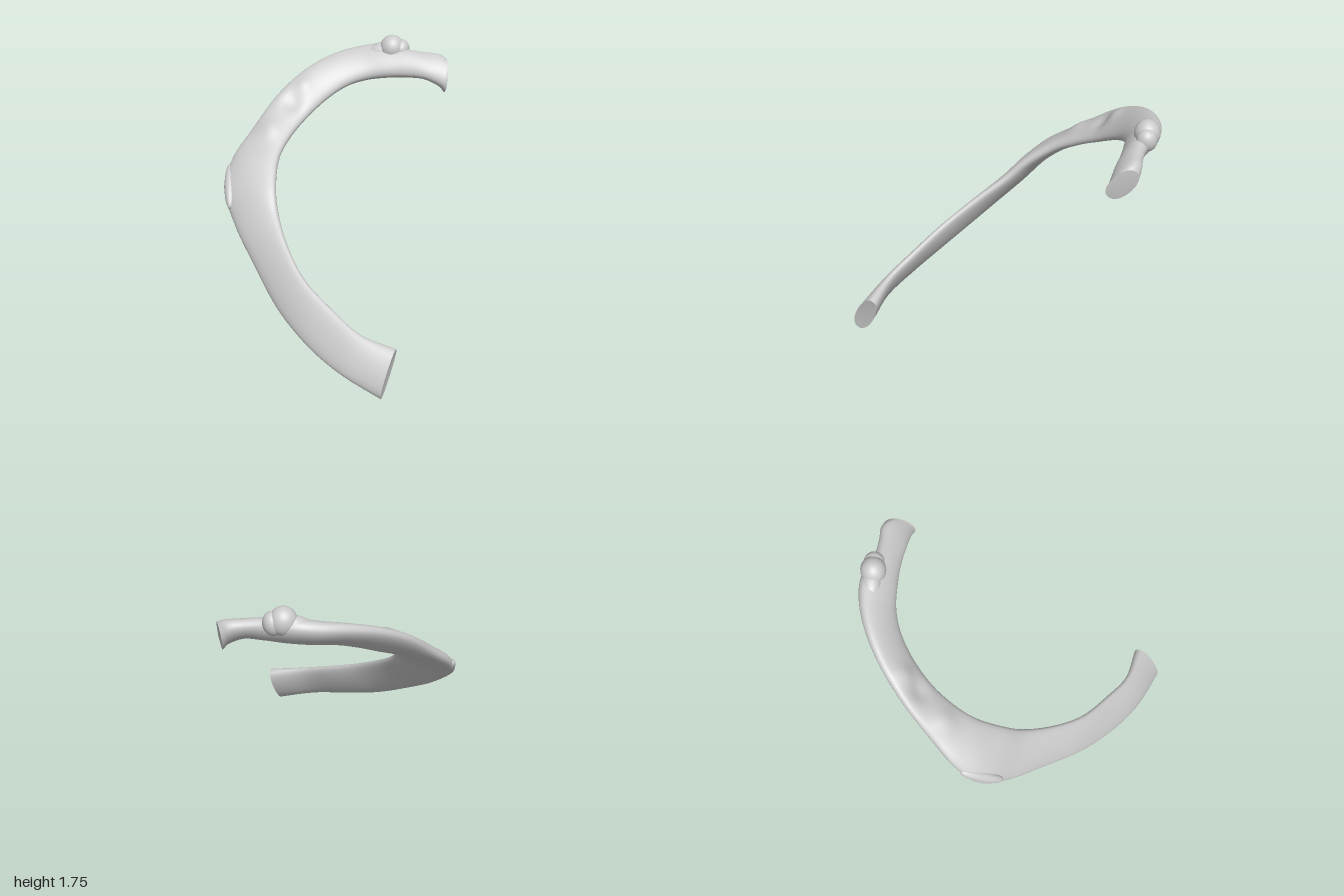
import * as THREE from 'three';

const V = (a) => new THREE.Vector3(...a);

// Stations from the front end to the head: outer edge, inner edge, thickness
const STATIONS = [
  [[0.24, 0.0, 0.97], [0.34, 0.285, 0.84], 0.13],
  [[0.0, 0.09, 0.83], [0.12, 0.34, 0.75], 0.085],
  [[-0.2, 0.18, 0.65], [-0.05, 0.43, 0.6], 0.08],
  [[-0.4, 0.32, 0.4], [-0.23, 0.55, 0.41], 0.08],
  [[-0.56, 0.51, 0.13], [-0.34, 0.69, 0.2], 0.085],
  [[-0.69, 0.69, -0.1], [-0.4, 0.83, 0.0], 0.1],
  [[-0.765, 0.88, -0.3], [-0.415, 0.95, -0.13], 0.11],
  [[-0.7, 1.04, -0.45], [-0.39, 1.09, -0.32], 0.11],
  [[-0.58, 1.18, -0.57], [-0.31, 1.18, -0.47], 0.1],
  [[-0.4, 1.38, -0.73], [-0.2, 1.26, -0.6], 0.1],
  [[-0.2, 1.52, -0.86], [-0.05, 1.36, -0.71], 0.1],
  [[0.0, 1.6, -0.945], [0.09, 1.43, -0.77], 0.11],
  [[0.2, 1.64, -0.985], [0.22, 1.465, -0.79], 0.13],
  [[0.36, 1.66, -0.97], [0.36, 1.485, -0.78], 0.14],
  [[0.5, 1.645, -0.89], [0.5, 1.49, -0.76], 0.12],
  [[0.62, 1.63, -0.865], [0.62, 1.49, -0.72], 0.11],
  [[0.72, 1.62, -0.85], [0.73, 1.44, -0.69], 0.13],
  [[0.765, 1.595, -0.83], [0.755, 1.41, -0.68], 0.15],
];

// Soft ridges and hollows on the upper face: position, radius, height
const BUMPS = [
  [V([-0.46, 1.22, -0.5]), 0.09, 0.025],
  [V([-0.3, 1.36, -0.64]), 0.07, -0.025],
  [V([-0.22, 1.44, -0.75]), 0.06, 0.02],
  [V([-0.6, 0.98, -0.33]), 0.1, 0.012],
];
const UP = V([0, 0.77, 0.63]);

function shaftGeometry(rows, sides) {
  const outer = new THREE.CatmullRomCurve3(STATIONS.map((s) => V(s[0])));
  const inner = new THREE.CatmullRomCurve3(STATIONS.map((s) => V(s[1])));
  const thick = new THREE.CatmullRomCurve3(STATIONS.map((s, i) => V([i, s[2], 0])));
  const mid = (t) => outer.getPoint(t).add(inner.getPoint(t)).multiplyScalar(0.5);
  const pos = [], index = [], rings = [];

  for (let i = 0; i <= rows; i++) {
    const t = i / rows;
    const centre = mid(t);
    const tangent = mid(Math.min(1, t + 0.005)).sub(mid(Math.max(0, t - 0.005))).normalize();
    const a = inner.getPoint(t).sub(outer.getPoint(t)).multiplyScalar(0.5);
    const b = tangent.clone().cross(a).normalize().multiplyScalar(thick.getPoint(t).y / 2);
    const ring = [];
    for (let j = 0; j < sides; j++) {
      const angle = (j / sides) * Math.PI * 2;
      const c = Math.cos(angle), s = Math.sin(angle);
      const p = centre.clone().addScaledVector(a, c)
        .addScaledVector(b, Math.sign(s) * Math.abs(s) ** 0.85);
      if (s < 0) {
        for (const [q, r, h] of BUMPS) {
          p.addScaledVector(UP, -s * h * Math.exp(-p.distanceToSquared(q) / (r * r)));
        }
      }
      ring.push(p);
      pos.push(p.x, p.y, p.z);
    }
    rings.push(ring);
  }
  for (let i = 0; i < rows; i++) {
    for (let j = 0; j < sides; j++) {
      const k = (j + 1) % sides;
      const p = i * sides + j, q = i * sides + k;
      index.push(p, q, p + sides, q, q + sides, p + sides);
    }
  }
  const geometry = new THREE.BufferGeometry();
  geometry.setAttribute('position', new THREE.Float32BufferAttribute(pos, 3));
  geometry.setIndex(index);
  geometry.computeVertexNormals();
  return { geometry, first: rings[0], last: rings[rows] };
}

// End face as a fan, its centre pushed in or out by an offset
function capGeometry(ring, offset, flip) {
  const centre = new THREE.Vector3();
  ring.forEach((p) => centre.addScaledVector(p, 1 / ring.length));
  centre.add(offset);
  const pos = [...centre.toArray()], index = [];
  ring.forEach((p, j) => {
    pos.push(p.x, p.y, p.z);
    const k = (j + 1) % ring.length;
    if (flip) index.push(0, k + 1, j + 1);
    else index.push(0, j + 1, k + 1);
  });
  const geometry = new THREE.BufferGeometry();
  geometry.setAttribute('position', new THREE.Float32BufferAttribute(pos, 3));
  geometry.setIndex(index);
  geometry.computeVertexNormals();
  return geometry;
}

export function createModel() {
  const group = new THREE.Group();
  group.name = 'rib';
  const material = new THREE.MeshStandardMaterial({ color: 0xcccccc });
  const add = (name, geometry) => {
    const mesh = new THREE.Mesh(geometry, material);
    mesh.name = name;
    group.add(mesh);
    return mesh;
  };
  // Ellipsoid whose long y axis follows a direction
  const knob = (name, at, size, along) => {
    const mesh = add(name, new THREE.SphereGeometry(1, 32, 20));
    mesh.position.set(...at);
    mesh.scale.set(...size);
    mesh.quaternion.setFromUnitVectors(V([0, 1, 0]), V(along).normalize());
  };

  // Curved blade with its two end faces
  const shaft = shaftGeometry(170, 36);
  add('shaft', shaft.geometry);
  add('frontEndFace', capGeometry(shaft.first, V([-0.01, 0, -0.01]), true));
  add('headFace', capGeometry(shaft.last, V([0.008, 0, 0]), false));

  // Tubercle with its two shoulders
  knob('tubercle', [0.4, 1.655, -0.905], [0.085, 0.09, 0.08], [0, 1, 0]);
  knob('tubercleInnerShoulder', [0.46, 1.64, -0.9], [0.06, 0.075, 0.065], [0.2, 1, 0]);
  knob('tubercleOuterShoulder', [0.32, 1.63, -0.92], [0.055, 0.11, 0.06], [1, 0.35, 0.1]);

  // Low muscle attachment patches on the outer edge
  knob('sideAttachment', [-0.725, 0.9, -0.28], [0.04, 0.17, 0.045], [0, 0.62, -0.78]);
  knob('backAttachment', [0.12, 1.6, -0.955], [0.03, 0.045, 0.03], [1, 0.2, -0.1]);

  return group;
}
